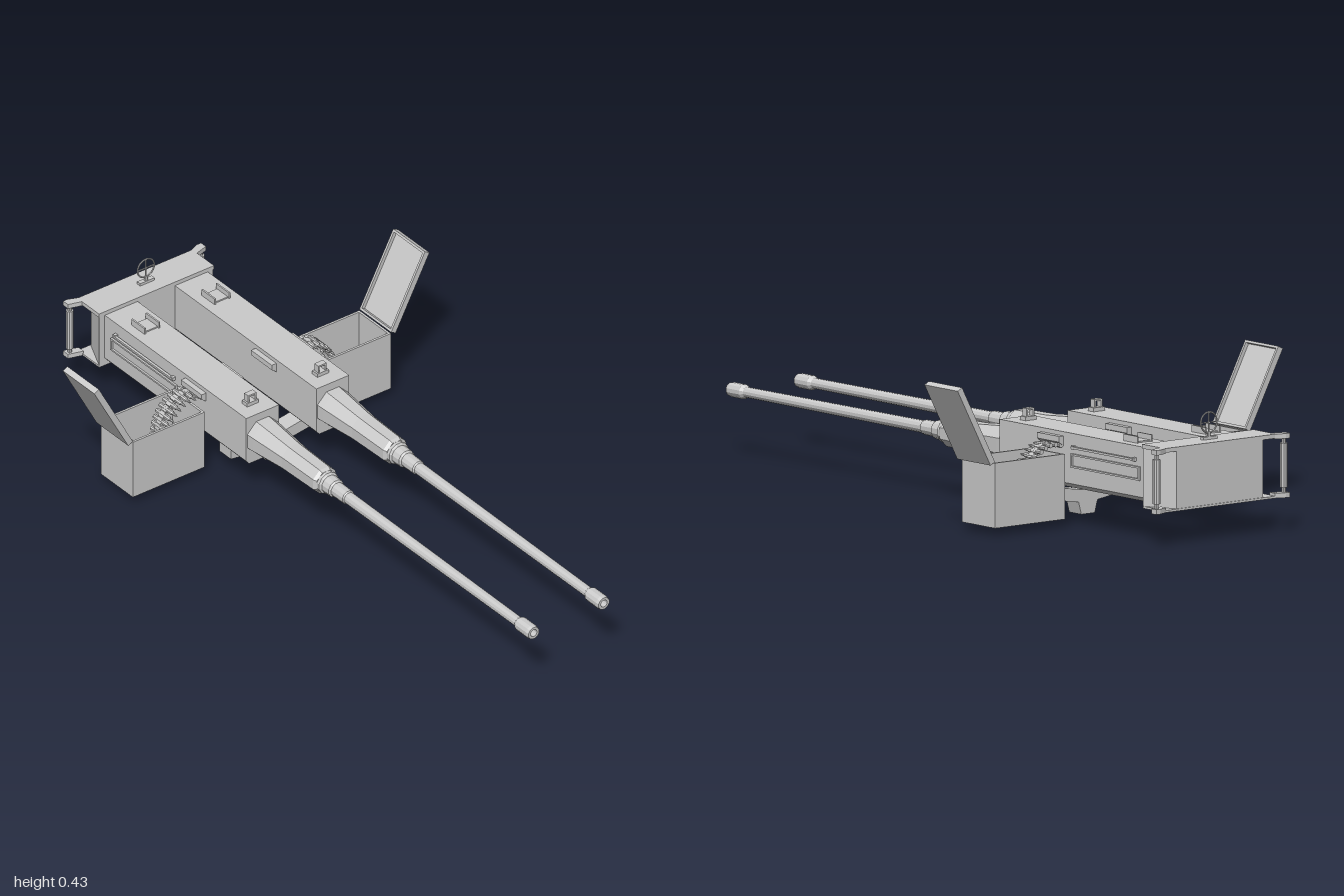
import * as THREE from 'three';

const mat = new THREE.MeshStandardMaterial({ color: 0xcccccc, flatShading: true, side: THREE.DoubleSide });

function add(parent, name, geo, x = 0, y = 0, z = 0) {
  const m = new THREE.Mesh(geo, mat);
  m.name = name;
  m.position.set(x, y, z);
  parent.add(m);
  return m;
}
const box = (w, h, d) => new THREE.BoxGeometry(w, h, d);

// Turned part along z from [radius, z] pairs, flats facing the axes
function turned(points, sides) {
  const pts = points.map(([r, z]) => new THREE.Vector2(r, z));
  return new THREE.LatheGeometry(pts, sides, Math.PI / sides).rotateX(Math.PI / 2);
}

// Outline in x/y pushed along z from z0 to z1
function prism(points, z0, z1) {
  const shape = new THREE.Shape(points.map(([x, y]) => new THREE.Vector2(x, y)));
  return new THREE.ExtrudeGeometry(shape, { depth: z1 - z0, bevelEnabled: false }).translate(0, 0, z0);
}

// Open tray with its floor at y = 0 and its left edge at x = 0
function tray(parent, name, w, h, d, t) {
  const g = new THREE.Group();
  g.name = name;
  add(g, name + 'Floor', box(w, t, d), w / 2, t / 2, 0);
  for (const s of [-1, 1]) {
    add(g, name + 'Side', box(w, h, t), w / 2, h / 2, s * (d - t) / 2);
    add(g, name + 'End', box(t, h, d - 2 * t), w / 2 + s * (w - t) / 2, h / 2, 0);
  }
  parent.add(g);
  return g;
}

function createGun(s) {
  const gun = new THREE.Group();
  gun.name = s > 0 ? 'leftGun' : 'rightGun';
  gun.position.x = 0.122 * s;
  const by = 0.185;

  add(gun, 'receiver', prism([[-0.047, 0.108], [0.047, 0.108], [0.057, 0.12], [0.057, 0.262],
    [-0.057, 0.262], [-0.057, 0.12]], -0.89, -0.242));
  add(gun, 'barrelJacket', turned([[0, -0.25], [0.058, -0.25], [0.056, -0.22], [0.045, -0.1],
    [0.042, 0.04], [0.036, 0.05], [0, 0.05]], 8), 0, by, 0);
  add(gun, 'barrelCollar', turned([[0.034, 0.04], [0.034, 0.06], [0.028, 0.065], [0.027, 0.095],
    [0.022, 0.1], [0.021, 0.15], [0.017, 0.155]], 12), 0, by, 0);
  add(gun, 'barrel', turned([[0.018, 0.05], [0.015, 0.93], [0.021, 0.94], [0.021, 0.99],
    [0.019, 1], [0.011, 1], [0.01, 0.93], [0, 0.93]], 12), 0, by, 0);

  // Feed cover bulging past both sides of the receiver
  add(gun, 'feedCover', prism([[-0.057, 0.222], [0.057, 0.222], [0.073, 0.234], [0.073, 0.25],
    [-0.073, 0.25], [-0.073, 0.234]], -0.52, -0.425));

  // Front sight: small block under an open frame
  add(gun, 'frontSightBase', box(0.04, 0.012, 0.024), 0, 0.267, -0.298);
  for (const k of [-1, 1]) {
    add(gun, 'frontSightPost', box(0.005, 0.026, 0.018), k * 0.012, 0.282, -0.298);
    add(gun, 'rearSightEar', box(0.005, 0.02, 0.06), k * 0.025, 0.271, -0.777);
  }
  add(gun, 'frontSightBar', box(0.029, 0.005, 0.018), 0, 0.293, -0.298);
  add(gun, 'rearSightBase', box(0.05, 0.008, 0.05), 0, 0.262, -0.777);

  // Raised frame and charging rod on the outer side
  for (const y of [0.169, 0.203]) add(gun, 'slideRail', box(0.008, 0.005, 0.3), s * 0.059, y, -0.707);
  for (const z of [-0.56, -0.854]) add(gun, 'slideRailEnd', box(0.008, 0.038, 0.006), s * 0.059, 0.186, z);
  add(gun, 'chargingRod', box(0.008, 0.006, 0.27), s * 0.065, 0.224, -0.7);
  for (const z of [-0.57, -0.835]) add(gun, 'rodMount', box(0.014, 0.01, 0.01), s * 0.06, 0.224, z);
  return gun;
}

function createAmmo(s) {
  const ammo = new THREE.Group();
  ammo.name = s > 0 ? 'leftAmmo' : 'rightAmmo';
  ammo.position.z = -0.478;
  if (s < 0) ammo.rotation.y = Math.PI;
  tray(ammo, 'ammoBox', 0.25, 0.183, 0.145, 0.007).position.set(0.199, 0.022, 0);

  // Open lid hinged at the outer edge
  const lid = tray(ammo, 'ammoLid', 0.25, 0.018, 0.145, 0.007);
  lid.position.set(0.465, 0.2, 0);
  lid.rotation.z = 1.08;

  // Belt curving from the feed opening down into the box
  const path = new THREE.CatmullRomCurve3([[0.185, 0.224], [0.215, 0.227], [0.25, 0.215], [0.285, 0.175],
    [0.3, 0.12], [0.302, 0.06]].map(([x, y]) => new THREE.Vector3(x, y, 0)));
  const round = turned([[0, -0.04], [0.007, -0.04], [0.007, 0.014], [0.004, 0.02], [0.004, 0.028], [0, 0.04]], 8);
  const n = 14;
  for (let i = 0; i < n; i++) {
    const p = path.getPointAt(i / (n - 1));
    const m = add(ammo, 'beltRound', round, p.x, p.y, 0);
    if (s < 0) m.rotation.y = Math.PI;
    const link = add(ammo, 'beltLink', box(0.018, 0.012, 0.02), p.x, p.y, s * -0.012);
    const t = path.getTangentAt(i / (n - 1));
    link.rotation.z = Math.atan2(t.y, t.x);
  }
  return ammo;
}

function createRearHousing() {
  const g = new THREE.Group();
  g.name = 'rearHousing';
  // Housing narrowing towards the back, outline drawn in x/z
  const outline = (pts, h, y) => prism(pts, 0, h).rotateX(Math.PI / 2).translate(0, y + h, 0);
  add(g, 'housing', outline([[-0.198, -0.89], [0.198, -0.89], [0.155, -0.985], [-0.155, -0.985]], 0.165, 0.1));
  add(g, 'topPlate', outline([[-0.2, -0.888], [0.2, -0.888], [0.2, -0.988], [-0.2, -0.988]], 0.012, 0.263));
  add(g, 'bottomPlate', outline([[-0.198, -0.89], [0.198, -0.89], [0.198, -0.988], [-0.198, -0.988]], 0.006, 0.095));
  for (const s of [-1, 1]) {
    for (const y of [0.095, 0.261]) {
      add(g, 'handleBracket', outline([[s * 0.195, -0.965], [s * 0.24, -0.978], [s * 0.24, -1],
        [s * 0.225, -1], [s * 0.195, -0.988]], 0.014, y));
    }
    add(g, 'handleGrip', new THREE.CylinderGeometry(0.011, 0.011, 0.125, 10), s * 0.228, 0.185, -0.986);
    add(g, 'handleRod', new THREE.CylinderGeometry(0.006, 0.006, 0.16, 8), s * 0.228, 0.185, -0.986);
  }

  // Ring sight with crosshair
  add(g, 'ringSightBase', box(0.05, 0.008, 0.014), 0, 0.279, -0.937);
  add(g, 'ringSightStem', new THREE.CylinderGeometry(0.004, 0.007, 0.018, 8), 0, 0.286, -0.937);
  add(g, 'ringSight', new THREE.TorusGeometry(0.029, 0.0025, 6, 24), 0, 0.322, -0.937);
  add(g, 'crosshairBar', box(0.058, 0.003, 0.003), 0, 0.322, -0.937);
  add(g, 'crosshairPost', box(0.003, 0.058, 0.003), 0, 0.322, -0.937);
  return g;
}

export function createModel() {
  const model = new THREE.Group();
  model.name = 'twinMount';
  for (const s of [1, -1]) model.add(createGun(s), createAmmo(s));
  model.add(createRearHousing());

  // Cradle joining both guns above the pivot foot
  const half = [[0.024, 0], [0.034, 0.036], [0.145, 0.052], [0.145, 0.11], [0.102, 0.11], [0.102, 0.082], [0, 0.066]];
  const mirrored = half.slice(0, -1).reverse().map(([x, y]) => [-x, y]);
  add(model, 'cradle', prism([...half, ...mirrored], -0.41, -0.357));
  return model;
}
